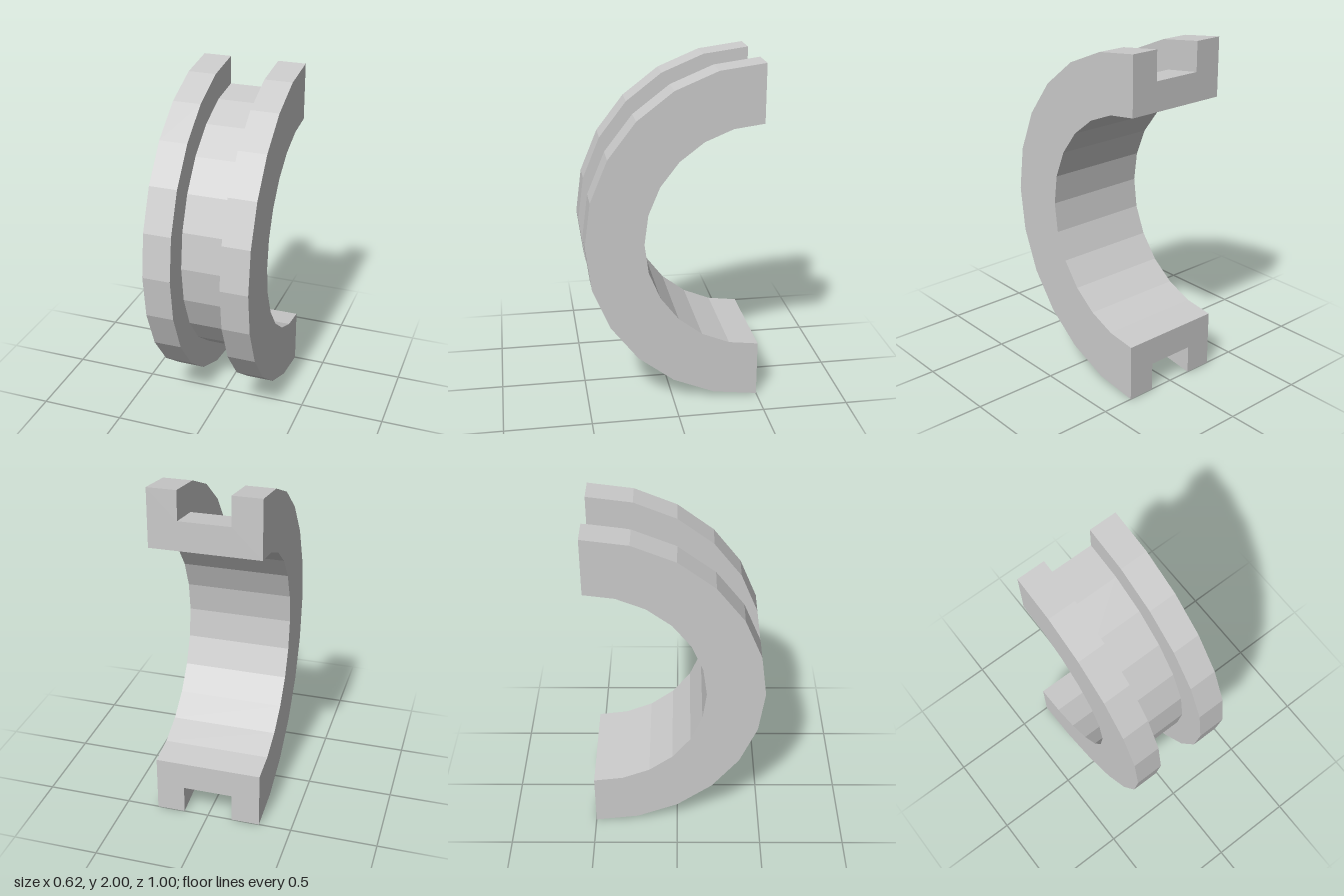
import * as THREE from 'three';

const INNER = 0.667, GROOVE = 0.833, OUTER = 1;
const HALF_WIDTH = 0.31, HALF_GROOVE = 0.145, SEGMENTS = 12;

// Channel cross-section as (radius, position along the axis), counter-clockwise
const profile = [
  [INNER, -HALF_WIDTH], [OUTER, -HALF_WIDTH], [OUTER, -HALF_GROOVE], [GROOVE, -HALF_GROOVE],
  [GROOVE, HALF_GROOVE], [OUTER, HALF_GROOVE], [OUTER, HALF_WIDTH], [INNER, HALF_WIDTH],
];

export function createModel() {
  const group = new THREE.Group();
  group.name = 'groovedHalfRing';
  const material = new THREE.MeshStandardMaterial({ color: 0xcccccc, flatShading: true });

  const add = (name, geometry) => {
    const mesh = new THREE.Mesh(geometry, material);
    mesh.name = name;
    mesh.position.set(0, 1, -0.5);
    group.add(mesh);
    return mesh;
  };

  // Half ring: closed profile swept 180 degrees, axis laid along x
  const loop = [...profile, profile[0]].map(([r, a]) => new THREE.Vector2(r, a));
  const ring = new THREE.LatheGeometry(loop, SEGMENTS, -Math.PI / 2, Math.PI);
  ring.rotateZ(-Math.PI / 2);
  add('halfRing', ring);

  // Flat end faces closing the cut, facing back
  const section = new THREE.Shape(profile.map(([r, a]) => new THREE.Vector2(a, r)));
  const cap = new THREE.ShapeGeometry(section).rotateY(Math.PI);
  add('topEnd', cap);
  add('bottomEnd', cap).rotation.z = Math.PI;

  return group;
}
